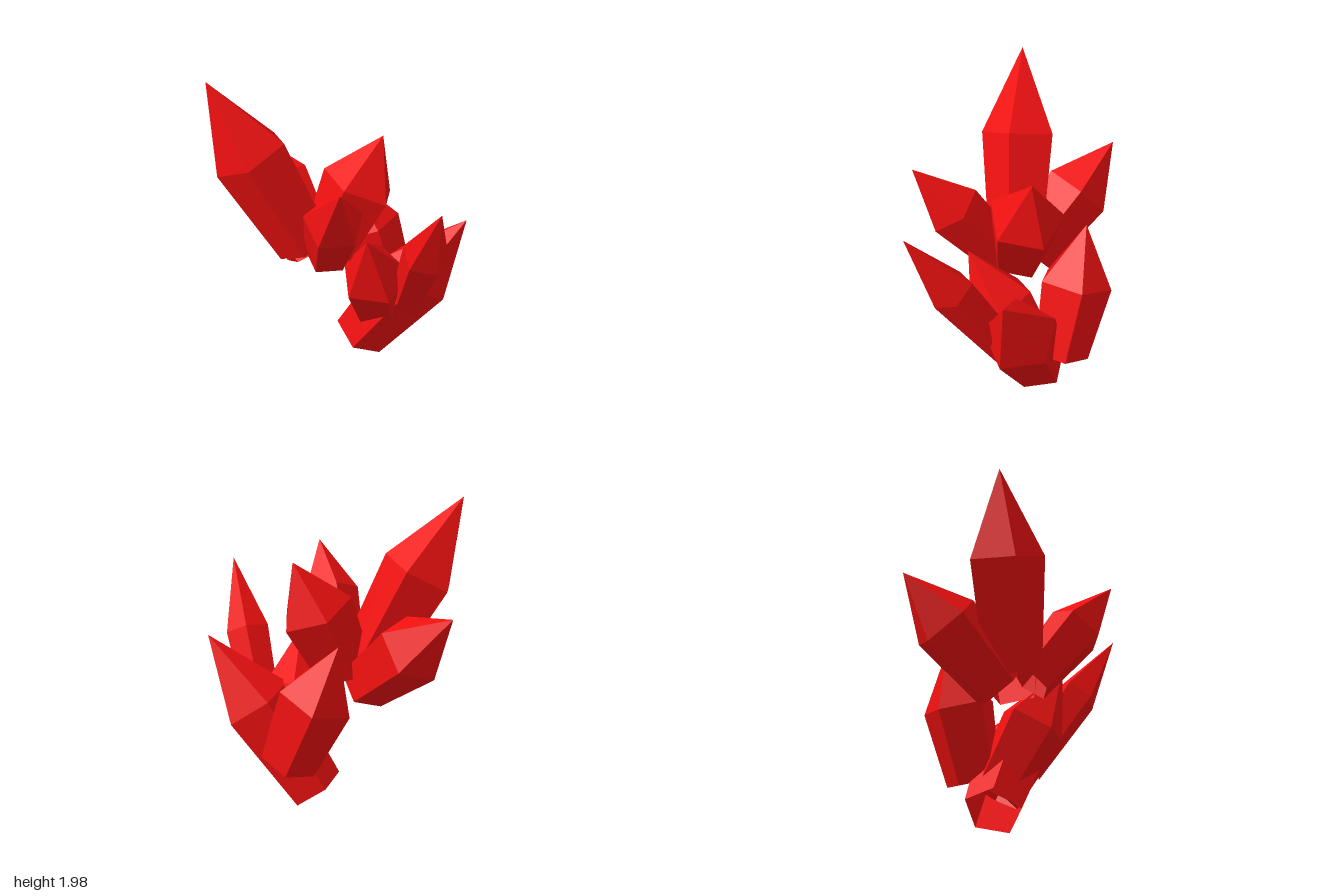
import * as THREE from 'three';

const material = new THREE.MeshStandardMaterial({
  color: 0xf01010, flatShading: true, side: THREE.DoubleSide,
});

// Five-sided crystal: tapered open prism with a pointed cap.
// "corner" is a point on the shoulder ring and sets the roll about the axis.
function crystal({ name, base, tip, corner, radius }) {
  const b = new THREE.Vector3(...base);
  const axis = new THREE.Vector3(...tip).sub(b);
  const length = axis.length();
  axis.normalize();

  const profile = [
    new THREE.Vector2(radius * 0.77, 0),
    new THREE.Vector2(radius, length * 0.56),
    new THREE.Vector2(0, length),
  ];
  const geometry = new THREE.LatheGeometry(profile, 5).toNonIndexed();
  geometry.computeVertexNormals();

  const out = new THREE.Vector3(...corner).sub(b);
  out.addScaledVector(axis, -out.dot(axis)).normalize();
  const side = new THREE.Vector3().crossVectors(axis, out);

  const mesh = new THREE.Mesh(geometry, material);
  mesh.name = name;
  mesh.quaternion.setFromRotationMatrix(new THREE.Matrix4().makeBasis(side, axis, out));
  mesh.position.copy(b);
  return mesh;
}

const crystals = [
  // Long root crystal that stands on the ground
  { name: 'rootCrystal', base: [0.01, 0.12, -0.185], tip: [0.645, 1.13, -0.46], corner: [0.385, 0.61, -0.57], radius: 0.245 },
  // Lower crystals growing out of the root
  { name: 'lowerFrontCrystal', base: [0.117, 0.27, -0.29], tip: [0.333, 1.09, 0.125], corner: [0.2, 0.64, 0.135], radius: 0.225 },
  { name: 'lowerBackCrystal', base: [0.055, 0.38, -0.41], tip: [-0.27, 1.19, -0.33], corner: [-0.215, 0.784, -0.54], radius: 0.24 },
  { name: 'leftCrystal', base: [0.36, 0.504, -0.24], tip: [0.88, 1.48, 0.1], corner: [0.65, 1.02, 0.085], radius: 0.145 },
  // Upper crystals
  { name: 'tallCrystal', base: [-0.163, 0.905, 0.157], tip: [-0.62, 2.0, 0.53], corner: [-0.52, 1.41, 0.57], radius: 0.25 },
  { name: 'rightCrystal', base: [-0.19, 0.806, 0.085], tip: [-0.885, 1.4, -0.04], corner: [-0.74, 0.97, 0.03], radius: 0.23 },
  { name: 'upperBackCrystal', base: [-0.05, 0.89, 0.047], tip: [0.14, 1.63, -0.23], corner: [0.28, 1.25, -0.09], radius: 0.245 },
  { name: 'upperFrontCrystal', base: [0.015, 0.89, 0.145], tip: [0.44, 1.59, 0.48], corner: [0.28, 1.19, 0.5], radius: 0.19 },
];

export function createModel() {
  const group = new THREE.Group();
  group.name = 'crystalCluster';
  for (const spec of crystals) group.add(crystal(spec));
  return group;
}
